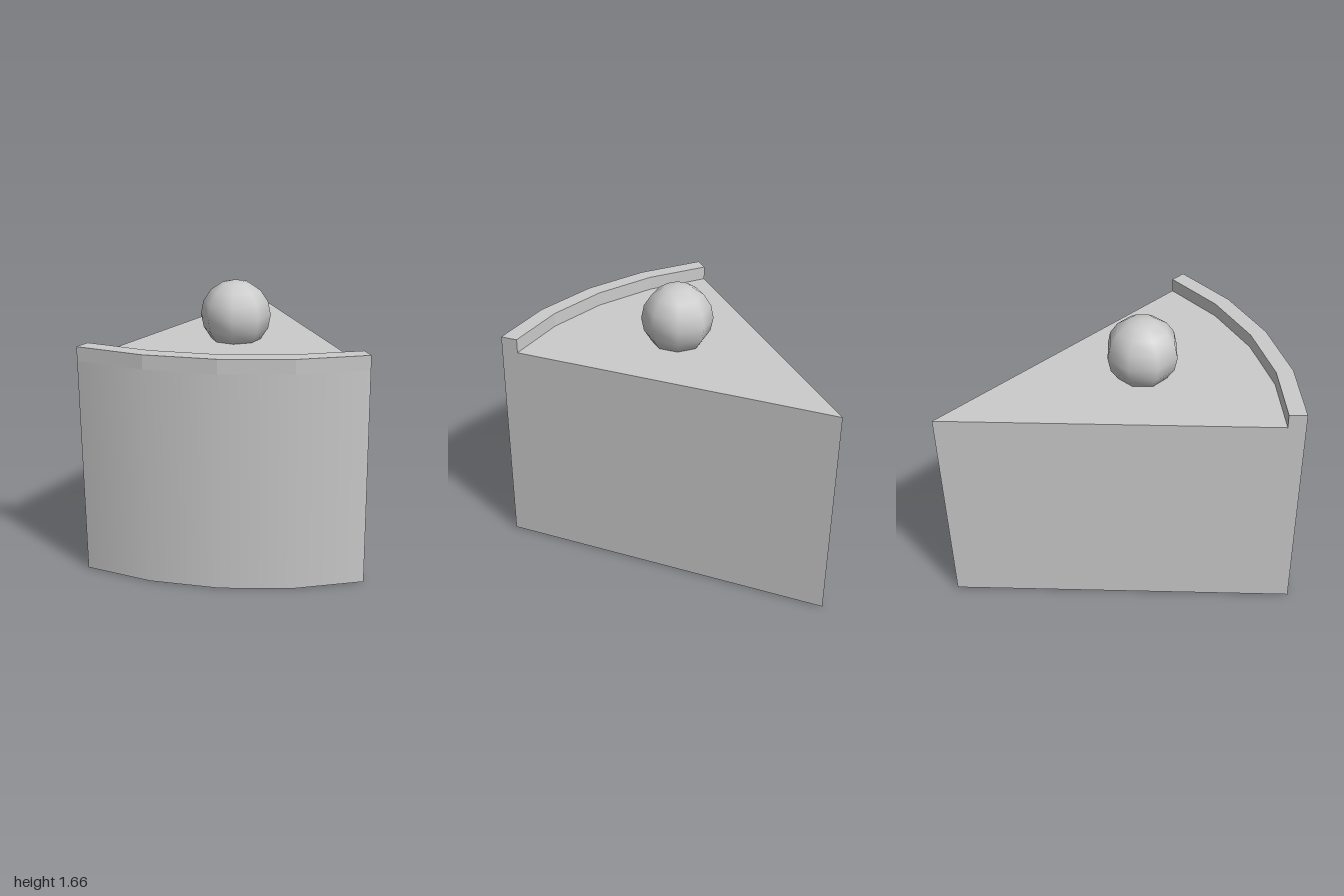
import * as THREE from 'three';

const R = 2.045, RIM = 1.943;          // outer radius, inner radius of the rim
const HEIGHT = 1.3, RIM_HEIGHT = 0.085;
const SEGMENTS = 4;
const START = THREE.MathUtils.degToRad(-78), SWEEP = THREE.MathUtils.degToRad(48);

export function createModel() {
  const material = new THREE.MeshStandardMaterial({ color: 0xcccccc });
  const model = new THREE.Group();
  const slice = new THREE.Group();     // origin at the pointed tip
  slice.name = 'cakeSlice';
  slice.position.set(1, 0, -0.885);
  model.add(slice);

  const add = (parent, name, geometry) => {
    const mesh = new THREE.Mesh(geometry, material);
    mesh.name = name;
    parent.add(mesh);
    return mesh;
  };

  // Wedge: rounded back with top and bottom
  add(slice, 'wedge', new THREE.CylinderGeometry(R, R, HEIGHT, SEGMENTS, 1, false, START, SWEEP)
    .translate(0, HEIGHT / 2, 0));

  // Two flat cut faces meeting at the tip
  for (const [name, theta, side] of [['backCutFace', START, 1], ['frontCutFace', START + SWEEP, -1]]) {
    add(slice, name, new THREE.PlaneGeometry(R, HEIGHT)
      .translate(side * R / 2, HEIGHT / 2, 0)
      .rotateY(theta - side * Math.PI / 2));
  }

  // Raised rim along the rounded edge
  const arc = (radius) => Array.from({ length: SEGMENTS + 1 }, (_, i) => {
    const t = START + SWEEP * i / SEGMENTS;
    return new THREE.Vector2(radius * Math.sin(t), -radius * Math.cos(t));
  });
  const rimShape = new THREE.Shape([...arc(R), ...arc(RIM).reverse()]);
  add(slice, 'rim', new THREE.ExtrudeGeometry(rimShape, { depth: RIM_HEIGHT, bevelEnabled: false })
    .rotateX(-Math.PI / 2)
    .translate(0, HEIGHT, 0));

  // Berry resting in the top
  const berry = add(model, 'berry', new THREE.SphereGeometry(0.215, 8, 8));
  berry.position.set(-0.007, 1.45, -0.157);
  berry.rotation.y = THREE.MathUtils.degToRad(-7.5);

  return model;
}
